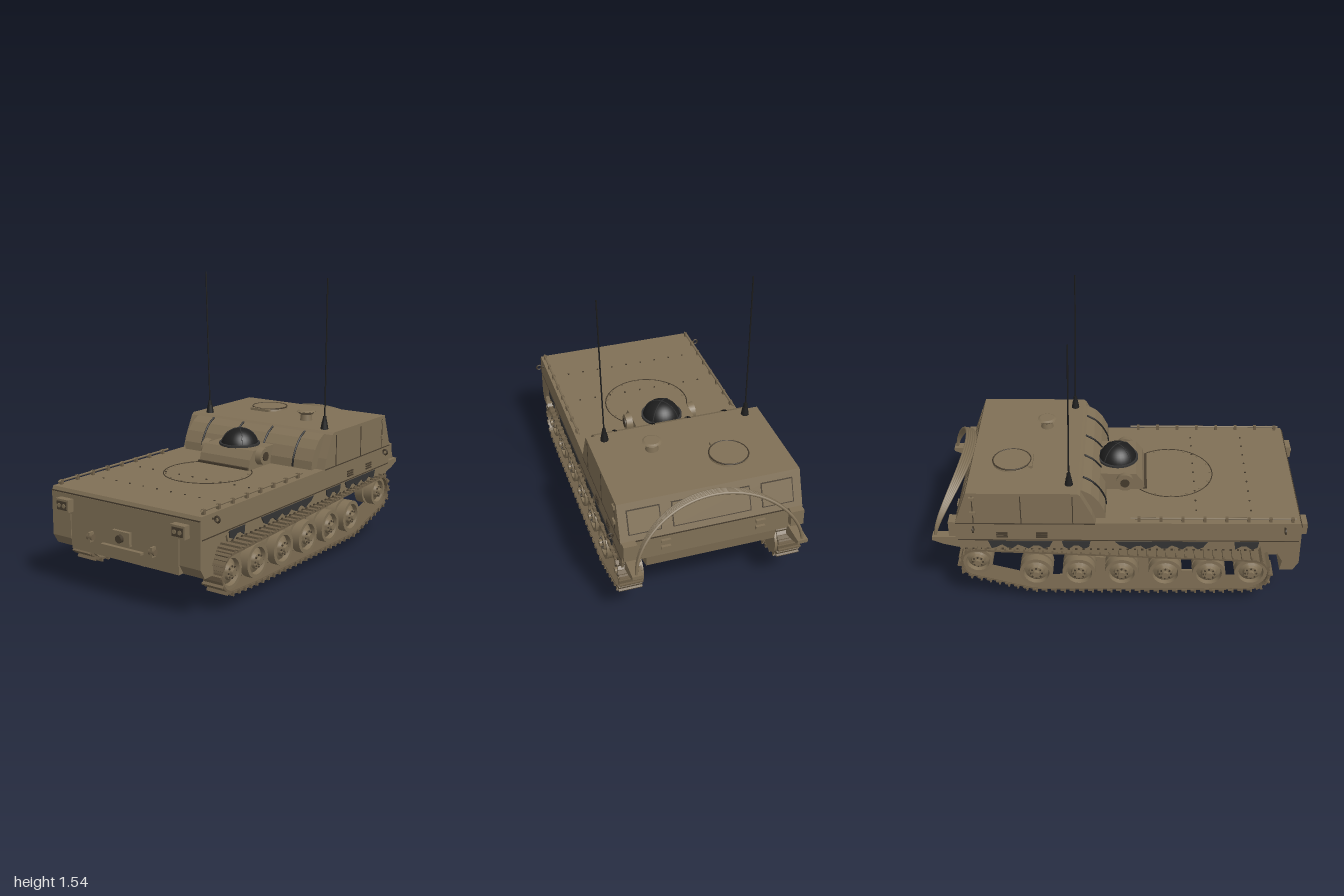
import * as THREE from 'three';
import { toCreasedNormals } from 'three/addons/utils/BufferGeometryUtils.js';

const mat = (name, hex) => {
  const m = new THREE.MeshStandardMaterial({ color: hex, side: THREE.DoubleSide });
  m.name = name;
  return m;
};

export function createModel() {
  const model = new THREE.Group();
  model.name = 'trackedCarrier';
  const brown = mat('brown paint', 0x807056);
  const trackBrown = mat('track brown', 0x6f6049);
  const seam = mat('dark seam', 0x463c2e);
  const grey = mat('dark grey', 0x343434);
  const black = mat('black', 0x1d1d1d);

  // helpers
  const add = (name, geo, m, x = 0, y = 0, z = 0, parent = model) => {
    const mesh = new THREE.Mesh(geo, m);
    mesh.name = name;
    mesh.position.set(x, y, z);
    parent.add(mesh);
    return mesh;
  };
  const box = (name, w, h, d, x, y, z, m = brown, parent = model) =>
    add(name, new THREE.BoxGeometry(w, h, d), m, x, y, z, parent);
  const cyl = (name, r0, r1, h, x, y, z, axis = 'y', m = brown, seg = 24) => {
    const g = new THREE.CylinderGeometry(r0, r1, h, seg);
    if (axis === 'x') g.rotateZ(-Math.PI / 2);
    if (axis === 'z') g.rotateX(Math.PI / 2);
    return add(name, g, m, x, y, z);
  };
  // side profile of [z, y] points stretched across x0..x1
  const profile = (name, pts, x0, x1, m = brown, hole) => {
    const s = new THREE.Shape(pts.map(p => new THREE.Vector2(p[0], p[1])));
    if (hole) s.holes.push(new THREE.Path(hole.map(p => new THREE.Vector2(p[0], p[1]))));
    const g = new THREE.ExtrudeGeometry(s, { depth: x1 - x0, bevelEnabled: false });
    g.rotateY(-Math.PI / 2).translate(x1, 0, 0);
    return add(name, g, m);
  };
  const tube = (name, pts, r, m = brown, n = 40) => add(name,
    new THREE.TubeGeometry(new THREE.CatmullRomCurve3(pts.map(p => new THREE.Vector3(...p))), n, r, 6), m);

  // hull and cab
  profile('lowerHull', [[0.95, 0.5], [0.95, 0.22], [-0.5, 0.22], [-0.85, 0.33], [-0.87, 0.45]], -0.345, 0.345);
  profile('upperHull', [[0.94, 0.525], [0.95, 0.5], [0.95, 0.4], [-0.87, 0.4], [-0.87, 0.52]], -0.475, 0.475);
  profile('cab', [[-0.13, 0.52], [-0.15, 0.58], [-0.21, 0.7], [-0.225, 0.712], [-0.8, 0.712], [-0.868, 0.52]], -0.48, 0.48);
  profile('canvasRoll', [[-0.08, 0.525], [-0.085, 0.57], [-0.115, 0.63], [-0.155, 0.675], [-0.2, 0.7], [-0.25, 0.7], [-0.25, 0.525]], -0.43, 0.43);
  for (const x of [-0.31, -0.1, 0.1, 0.31])
    tube('canvasStrap', [[x, 0.53, -0.08], [x, 0.57, -0.085], [x, 0.63, -0.115], [x, 0.675, -0.155], [x, 0.703, -0.2]], 0.006, black, 12);

  // deck turntable ring, seams and bolts
  const bolt = new THREE.CylinderGeometry(0.005, 0.005, 0.006, 6);
  const ring = add('turntableRing', new THREE.TorusGeometry(0.235, 0.003, 4, 48), seam, 0, 0.524, 0.27);
  ring.rotation.x = Math.PI / 2;
  for (let i = 0; i < 16; i++) {
    const a = i * Math.PI / 8;
    add('ringBolt', bolt, brown, 0.222 * Math.cos(a), 0.526, 0.27 + 0.222 * Math.sin(a));
  }
  for (const z of [0.4, 0.69])
    for (let i = -4; i <= 4; i++) add('deckBolt', bolt, seam, i * 0.09, 0.526, z);

  // sight housing with dome
  profile('sightHousing', [[0.13, 0.525], [0.115, 0.58], [0.08, 0.625], [-0.12, 0.625], [-0.12, 0.525]], -0.165, 0.165);
  box('sightSill', 0.33, 0.012, 0.02, 0, 0.535, 0.13, seam);
  cyl('domeCollar', 0.112, 0.112, 0.012, 0, 0.63, -0.02, 'y', grey, 32);
  add('dome', new THREE.SphereGeometry(0.105, 32, 12, 0, Math.PI * 2, 0, Math.PI / 2), black, 0, 0.61, -0.02);
  for (const a of [Math.PI / 4, -Math.PI / 4])
    add('domeRib', new THREE.TorusGeometry(0.105, 0.003, 4, 24, Math.PI), grey, 0, 0.61, -0.02).rotation.y = a;

  // roof fittings
  cyl('roofHatch', 0.1, 0.105, 0.018, -0.18, 0.718, -0.585, 'y', brown, 32);
  add('hatchRim', new THREE.TorusGeometry(0.102, 0.004, 6, 32), seam, -0.18, 0.726, -0.585).rotation.x = Math.PI / 2;
  box('hatchHinge', 0.13, 0.015, 0.02, -0.18, 0.72, -0.482);
  cyl('ventStem', 0.03, 0.035, 0.04, 0.18, 0.73, -0.42);
  cyl('ventCap', 0.055, 0.035, 0.018, 0.18, 0.755, -0.42);
  cyl('ventTop', 0.04, 0.055, 0.008, 0.18, 0.766, -0.42);

  // front plate fittings
  box('towPlate', 0.11, 0.07, 0.02, 0, 0.34, 0.958);
  cyl('towPin', 0.02, 0.02, 0.03, 0, 0.34, 0.972, 'z', seam, 12);
  box('frontStep', 0.26, 0.012, 0.025, 0, 0.285, 0.96);
  box('frontSeam', 0.95, 0.006, 0.004, 0, 0.505, 0.95, seam);

  // underside pedestal
  cyl('pedestal', 0.17, 0.17, 0.12, 0, 0.165, 0, 'y', brown, 40);
  box('pedestalFront', 0.05, 0.1, 0.01, 0, 0.17, 0.17);
  box('pedestalBeam', 0.48, 0.045, 0.3, 0, 0.085, 0);

  // rear arch made of parallel slats
  for (let k = 0; k < 5; k++) {
    const pts = [];
    for (let i = 0; i <= 20; i++) {
      const a = Math.PI * i / 20, s = Math.sin(a);
      pts.push([0.435 * Math.cos(a), 0.41 + (0.295 - k * 0.003) * s, -0.985 + 0.15 * Math.pow(Math.abs(s), 1.5) + (k - 2) * 0.012 * s]);
    }
    tube('rearArchSlat', pts, 0.008);
  }
  // rear face panels
  const rearWindow = (x, w) => {
    const p = box('rearPanel', w, 0.12, 0.006, x, 0.615, -0.835);
    p.rotation.x = 0.34;
    const e = box('rearPanelSeam', w + 0.012, 0.132, 0.003, x, 0.615, -0.834, seam);
    e.rotation.x = 0.34;
  };
  rearWindow(0, 0.4);
  box('rearSeam', 0.95, 0.005, 0.004, 0, 0.52, -0.869, seam);

  // convex outline around the running wheels: [z, y, radius]
  const wheels = [0.475, 0.24, 0.005, -0.225, -0.455].map(z => [z, 0.183, 0.09]);
  const idler = [0.7, 0.19, 0.088], sprocket = [-0.765, 0.26, 0.08];
  const outline = grow => {
    const pts = [];
    for (const [z, y, r] of [idler, sprocket, ...wheels])
      for (let i = 0; i < 32; i++) {
        const a = i * Math.PI / 16;
        pts.push([z + (r + grow) * Math.cos(a), y + (r + grow) * Math.sin(a)]);
      }
    pts.sort((a, b) => a[0] - b[0] || a[1] - b[1]);
    const half = list => {
      const h = [];
      for (const p of list) {
        while (h.length > 1) {
          const [a, b] = [h[h.length - 2], h[h.length - 1]];
          if ((b[0] - a[0]) * (p[1] - a[1]) - (b[1] - a[1]) * (p[0] - a[0]) > 1e-7) break;
          h.pop();
        }
        h.push(p);
      }
      h.pop();
      return h;
    };
    return [...half(pts), ...half([...pts].reverse())];
  };
  const outer = outline(0.011), inner = outline(0.001);
  const loop = new THREE.CurvePath();
  outer.forEach((p, i) => {
    const q = outer[(i + 1) % outer.length];
    loop.add(new THREE.LineCurve(new THREE.Vector2(...p), new THREE.Vector2(...q)));
  });

  const wheelGeo = r => toCreasedNormals(new THREE.LatheGeometry(
    [[0, -0.1], [1, -0.1], [1, -0.05], [0.8, -0.05], [0.8, -0.035], [1, -0.035], [1, 0.012], [0.78, 0.012],
      [0.72, -0.012], [0.48, 0.0], [0.42, 0.015], [0.22, 0.018], [0.2, 0.032], [0, 0.032]]
      .map(p => new THREE.Vector2(p[0] * r, p[1])), 28).rotateZ(-Math.PI / 2), 0.5);
  const wheelKinds = [[idler, 'idler'], [sprocket, 'sprocket'], ...wheels.map(w => [w, 'roadWheel'])];
  const boltX = new THREE.CylinderGeometry(0.005, 0.005, 0.014, 6).rotateZ(Math.PI / 2);
  const padGeo = new THREE.BoxGeometry(0.124, 0.012, 0.03);
  const hornGeo = new THREE.BoxGeometry(0.124, 0.022, 0.01);

  for (const s of [-1, 1]) {
    const span = (a, b) => s > 0 ? [a, b] : [-b, -a];

    // running gear
    for (const [[z, y, r], name] of wheelKinds) {
      const g = new THREE.Group();
      g.name = name;
      g.position.set(s * 0.455, y, z);
      if (s < 0) g.rotation.y = Math.PI;
      model.add(g);
      add('wheelDisc', wheelGeo(r), brown, 0, 0, 0, g);
      for (let i = 0; i < 8; i++) {
        const a = i * Math.PI / 4;
        add('wheelBolt', boltX, seam, 0.014, r * 0.34 * Math.sin(a), r * 0.34 * Math.cos(a), g);
      }
    }
    profile('trackBand', outer, ...span(0.37, 0.485), trackBrown, inner);
    const count = 70;
    for (let i = 0; i < count; i++) {
      const p = loop.getPointAt(i / count), t = loop.getTangentAt(i / count);
      const link = new THREE.Group();
      link.name = 'trackLink';
      link.position.set(s * 0.428, p.y, p.x);
      link.rotation.x = -Math.atan2(t.y, t.x);
      add('trackPad', padGeo, trackBrown, 0, 0, 0, link);
      add('trackCleat', hornGeo, trackBrown, 0, -0.006, 0.01, link);
      model.add(link);
    }

    // mudguard and side skirt
    profile('mudguard', [[0.95, 0.4], [0.95, 0.27], [0.92, 0.22], [0.85, 0.22], [0.86, 0.28], [0.82, 0.35], [0.73, 0.4]], ...span(0.35, 0.475));
    profile('sideSkirt', [[0.75, 0.41], [0.73, 0.35], [-0.85, 0.35], [-0.87, 0.41]], ...span(0.462, 0.472));
    for (const [z0, z1] of [[0.6, 0.73], [-0.03, 0.46], [-0.31, -0.16], [-0.7, -0.36]]) {
      const pts = [[z0, 0.405], [z1, 0.405]], n = Math.max(4, Math.round((z1 - z0) / 0.03));
      for (let i = 0; i <= n; i++)
        pts.push([z1 + (z0 - z1) * (0.05 + 0.9 * i / n), 0.37 - 0.014 * Math.sin(i * 1.9)]);
      profile('darkSkirtPatch', pts, ...span(0.473, 0.479), grey);
    }
    for (let i = 0; i < 40; i++) box('skirtRivet', 0.006, 0.008, 0.012, s * 0.474, 0.352, 0.7 - i * 0.039, seam);

    // side seams, door and vents
    box('sideSeam', 0.004, 0.005, 1.8, s * 0.476, 0.412, 0.04, seam);
    box('cabSeam', 0.004, 0.005, 0.73, s * 0.481, 0.522, -0.5, seam);
    for (const z of [-0.25, -0.52, -0.77]) box('doorSeam', 0.003, 0.17, 0.005, s * 0.481, 0.61, z, seam);
    for (const z of [-0.415, -0.625])
      for (let i = 0; i < 3; i++) box('sideVent', 0.006, 0.008, 0.06, s * 0.477, 0.433 + i * 0.013, z, seam);
    for (const y of [0.59, 0.68]) box('doorHinge', 0.015, 0.02, 0.03, s * 0.483, y, -0.77);

    // deck edge rail
    tube('deckRail', [[s * 0.455, 0.543, 0.92], [s * 0.455, 0.543, 0.05]], 0.006, brown, 4);
    for (let i = 0; i < 8; i++) box('railPost', 0.016, 0.026, 0.016, s * 0.455, 0.537, 0.9 - i * 0.115, trackBrown);
    const eye = add('sideEye', new THREE.TorusGeometry(0.014, 0.005, 6, 16), seam, s * 0.505, 0.5, 0.86);
    cyl('eyeStem', 0.004, 0.004, 0.03, s * 0.482, 0.5, 0.86, 'x', seam, 6);
    const rearEye = eye.clone();
    rearEye.position.z = -0.77;
    model.add(rearEye);

    // front lamps and tow hooks
    box('lampBox', 0.085, 0.065, 0.04, s * 0.37, 0.447, 0.968);
    box('lampFace', 0.065, 0.045, 0.005, s * 0.37, 0.447, 0.989, seam);
    for (const d of [-0.016, 0.016]) cyl('lampLens', 0.011, 0.011, 0.006, s * 0.37 + d, 0.447, 0.992, 'z', brown, 12);
    box('towHook', 0.014, 0.05, 0.03, s * 0.2, 0.31, 0.965);
    cyl('hookPin', 0.016, 0.016, 0.035, s * 0.2, 0.31, 0.965, 'x', trackBrown, 12);

    // sight side drums
    cyl('sightDrum', 0.045, 0.05, 0.035, s * 0.182, 0.588, 0.02, 'x');
    cyl('sightDrumCap', 0.025, 0.025, 0.006, s * 0.202, 0.588, 0.02, 'x', seam, 16);

    // antennas
    cyl('antennaBase', 0.014, 0.022, 0.045, s * 0.392, 0.735, -0.27, 'y', black, 12);
    cyl('antennaSpring', 0.009, 0.013, 0.03, s * 0.393, 0.77, -0.27, 'y', black, 10);
    tube('antennaRod', [[s * 0.393, 0.77, -0.27], [s * 0.4, 1.15, -0.263], [s * 0.406, 1.535, -0.256]], 0.004, black, 8);

    // underside skids
    box('skidHousing', 0.055, 0.11, 0.5, s * 0.28, 0.108, 0);
    box('skidStem', 0.012, 0.04, 0.79, s * 0.28, 0.035, 0.07);
    box('skidFoot', 0.026, 0.012, 0.83, s * 0.28, 0.006, 0.07);
    box('skidCollar', 0.03, 0.02, 0.5, s * 0.28, 0.17, 0);

    // rear brackets and steps
    profile('archBracket', [[-0.86, 0.415], [-1, 0.415], [-1, 0.395], [-0.94, 0.37], [-0.86, 0.35]], ...span(0.405, 0.46));
    box('rearCornerBox', 0.07, 0.09, 0.04, s * 0.44, 0.48, -0.885);
    rearWindow(s * 0.35, 0.16);
    for (const y of [0.45, 0.49]) box('rearHinge', 0.05, 0.018, 0.02, s * 0.25, y, -0.875);
  }
  return model;
}
